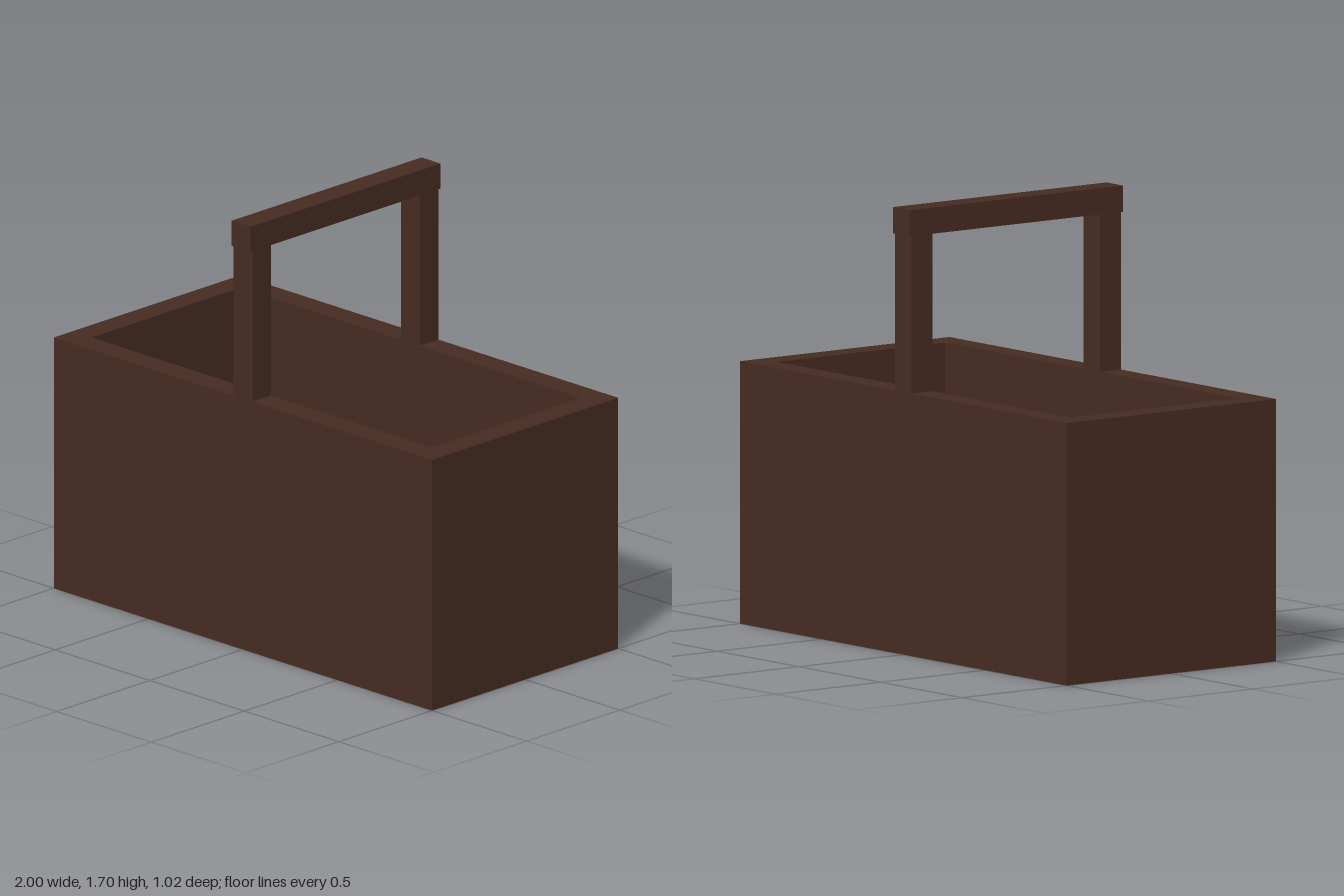
import * as THREE from 'three';

export function createModel() {
  const model = new THREE.Group();
  model.name = 'basket';
  const wood = new THREE.MeshStandardMaterial({ name: 'darkBrownWood', color: 0x472c22 });

  const add = (name, geometry, x, y, z) => {
    const mesh = new THREE.Mesh(geometry, wood);
    mesh.name = name;
    mesh.position.set(x, y, z);
    model.add(mesh);
    return mesh;
  };

  const rectangle = (Type, w, h) => new Type([
    new THREE.Vector2(-w / 2, -h / 2),
    new THREE.Vector2(w / 2, -h / 2),
    new THREE.Vector2(w / 2, h / 2),
    new THREE.Vector2(-w / 2, h / 2),
  ]);

  const length = 2, width = 1, height = 1, wall = 0.1;

  // Thick walls around an open interior
  const outline = rectangle(THREE.Shape, length, width);
  outline.holes.push(rectangle(THREE.Path, length - 2 * wall, width - 2 * wall));
  const walls = new THREE.ExtrudeGeometry(outline, { depth: height - wall, bevelEnabled: false });
  walls.rotateX(-Math.PI / 2);
  add('walls', walls, 0, wall, 0);

  // Floor slab
  add('floor', new THREE.BoxGeometry(length, wall, width), 0, wall / 2, 0);

  // Handle: two posts on the rim and a slightly overhanging bar
  for (const [name, side] of [['frontHandlePost', 1], ['backHandlePost', -1]]) {
    add(name, new THREE.BoxGeometry(0.1, 0.6, 0.1), 0, 1.3, side * 0.45);
  }
  add('handleBar', new THREE.BoxGeometry(0.1, 0.1, 1.02), 0, 1.65, 0);

  return model;
}
